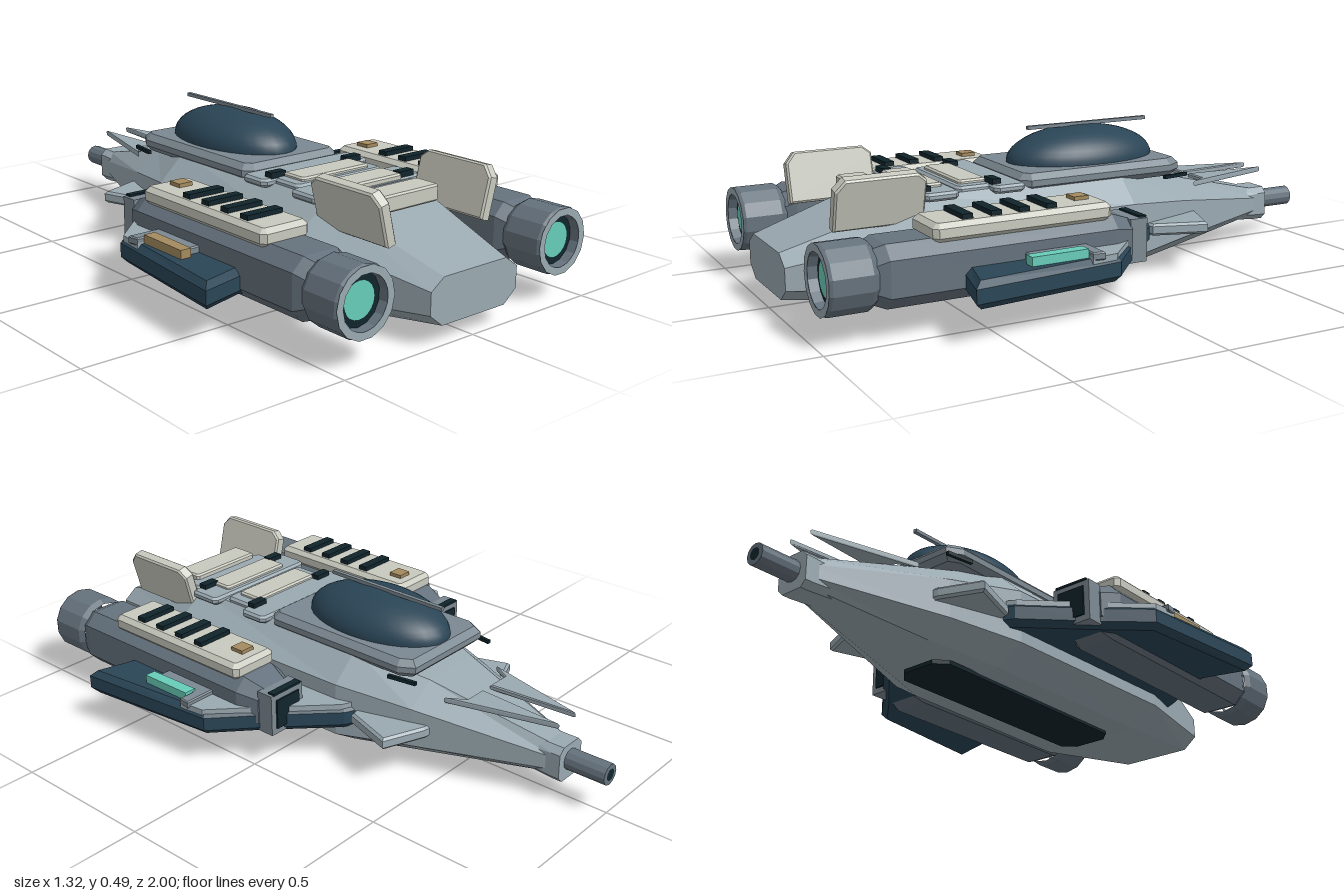
import * as THREE from 'three';

const paint = (name, color) => {
  const m = new THREE.MeshStandardMaterial({ color });
  m.name = name;
  return m;
};

export function createModel() {
  const ship = new THREE.Group();
  ship.name = 'spaceship';
  const hullGrey = paint('hullGrey', 0x9aa9b1);
  const frameGrey = paint('frameGrey', 0x7c8992);
  const engineGrey = paint('engineGrey', 0x65727d);
  const navy = paint('navy', 0x2a4556);
  const black = paint('nearBlack', 0x10242b);
  const cream = paint('cream', 0xc8c9be);
  const teal = paint('teal', 0x68cdb9);
  const ochre = paint('ochre', 0xa48b5f);

  const add = (name, geo, mat, x = 0, y = 0, z = 0) => {
    const mesh = new THREE.Mesh(geo, mat);
    mesh.name = name;
    mesh.position.set(x, y, z);
    ship.add(mesh);
    return mesh;
  };
  const flat = (geo) => {
    const g = geo.index ? geo.toNonIndexed() : geo;
    g.computeVertexNormals();
    return g;
  };
  const box = (name, mat, w, h, d, x, y, z) => add(name, new THREE.BoxGeometry(w, h, d), mat, x, y, z);

  // Skin over rings of [x, y], counterclockwise seen from +z, at rising z
  const loft = (sections) => {
    const n = sections[0].ring.length, pos = [], idx = [];
    sections.forEach(({ z, ring }) => ring.forEach(([x, y]) => pos.push(x, y, z)));
    for (let i = 0; i < sections.length - 1; i++) {
      for (let j = 0; j < n; j++) {
        const k = (j + 1) % n, a = i * n + j, b = i * n + k;
        idx.push(a, b, b + n, a, b + n, a + n);
      }
    }
    const e = (sections.length - 1) * n;
    for (let j = 1; j < n - 1; j++) idx.push(0, j + 1, j, e, e + j, e + j + 1);
    const g = new THREE.BufferGeometry();
    g.setAttribute('position', new THREE.Float32BufferAttribute(pos, 3));
    g.setIndex(idx);
    return flat(g);
  };

  // Horizontal plate from an outline of [x, z], with chamfered edges
  const slab = (name, mat, outline, y0, y1, bevel = 0) => {
    const shape = new THREE.Shape(outline.map(([x, z]) => new THREE.Vector2(x, -z)));
    const g = new THREE.ExtrudeGeometry(shape, {
      depth: y1 - y0 - 2 * bevel, bevelEnabled: bevel > 0, bevelSegments: 1,
      bevelSize: bevel, bevelThickness: bevel, bevelOffset: -bevel,
    });
    g.rotateX(-Math.PI / 2);
    return add(name, g, mat, 0, y0 + bevel, 0);
  };
  const rect = (x, hw, z0, z1, c) => [
    [x - hw + c, z0], [x + hw - c, z0], [x + hw, z0 + c], [x + hw, z1 - c],
    [x + hw - c, z1], [x - hw + c, z1], [x - hw, z1 - c], [x - hw, z0 + c]];
  const octagon = (wide, bottom, top, y0, yLow, yHigh, y1) => [
    [bottom, y0], [wide, yLow], [wide, yHigh], [top, y1],
    [-top, y1], [-wide, yHigh], [-wide, yLow], [-bottom, y0]];

  // Main hull
  add('hull', loft([
    { z: -0.84, ring: octagon(0.05, 0.03, 0.03, 0.09, 0.11, 0.15, 0.18) },
    { z: -0.4, ring: octagon(0.2, 0.12, 0.11, 0.035, 0.09, 0.22, 0.29) },
    { z: -0.15, ring: octagon(0.275, 0.18, 0.18, 0.01, 0.07, 0.25, 0.34) },
    { z: 0.57, ring: octagon(0.29, 0.19, 0.18, 0.01, 0.07, 0.25, 0.335) },
    { z: 1, ring: octagon(0.18, 0.13, 0.13, 0.06, 0.1, 0.17, 0.205) },
  ]), hullGrey);
  slab('bellyPanel', black, rect(0, 0.1, -0.33, 0.57, 0.04), 0, 0.014);

  // Nose collar and cannon
  add('noseCollar', loft([
    { z: -0.86, ring: octagon(0.06, 0.04, 0.04, 0.07, 0.09, 0.17, 0.19) },
    { z: -0.83, ring: octagon(0.06, 0.04, 0.04, 0.07, 0.09, 0.17, 0.19) },
    { z: -0.7, ring: octagon(0.06, 0.04, 0.04, 0.08, 0.1, 0.16, 0.19) },
  ]), hullGrey);
  const tube = (name, mat, r0, r1, len, sides, x, y, z) =>
    add(name, flat(new THREE.CylinderGeometry(r1, r0, len, sides).rotateX(Math.PI / 2)), mat, x, y, z);
  tube('cannonBarrel', engineGrey, 0.035, 0.035, 0.16, 12, 0, 0.135, -0.92);
  add('cannonBore', new THREE.CircleGeometry(0.02, 12).rotateY(Math.PI), black, 0, 0.135, -1.001);

  // Canopy, its frame and the spine rod
  const frame = [[-0.17, -0.39], [0.17, -0.39], [0.2, -0.34], [0.2, 0.19], [0.17, 0.22], [-0.17, 0.22], [-0.2, 0.19], [-0.2, -0.34]];
  slab('canopyFrame', frameGrey, frame, 0.31, 0.37, 0.02);
  const dome = new THREE.SphereGeometry(1, 32, 12, 0, Math.PI * 2, 0, Math.PI * 0.55);
  add('canopy', dome.scale(0.16, 0.11, 0.27), navy, 0, 0.37, -0.1);
  box('canopyRod', frameGrey, 0.014, 0.012, 0.46, 0, 0.483, -0.13);

  // Deck plates and pads
  slab('deckPlate', hullGrey, rect(0, 0.225, 0.22, 0.33, 0.015), 0.325, 0.352, 0.008);
  slab('deckPlate', hullGrey, rect(0, 0.18, 0.32, 0.44, 0.015), 0.325, 0.352, 0.008);
  slab('deckPlate', hullGrey, rect(0, 0.225, 0.45, 0.57, 0.015), 0.325, 0.352, 0.008);
  slab('deckPlate', hullGrey, rect(0, 0.18, 0.57, 0.65, 0.015), 0.31, 0.345, 0.008);
  for (const z of [0.37, 0.52, 0.675]) slab('deckPad', cream, rect(0, 0.14, z - 0.048, z + 0.048, 0.008), 0.31, 0.364, 0.006);

  for (const s of [1, -1]) {
    const mirror = (pts) => pts.map(([x, z]) => [s * x, z]);
    const ex = s * 0.41, ey = 0.19;

    // Small deck vents and canopy side slots
    for (const z of [0.31, 0.55]) box('deckVent', black, 0.06, 0.02, 0.03, s * 0.16, 0.358, z);
    const slot = box('canopySlot', black, 0.012, 0.012, 0.1, s * 0.2, 0.312, -0.36);
    slot.rotation.y = s * 0.15;

    // Nose spikes and canards
    slab('noseSpike', hullGrey, mirror([[0.02, -0.54], [0.045, -0.84], [0.14, -0.48], [0.1, -0.54]]), 0.25, 0.268, 0.004);
    slab('canard', hullGrey, mirror([[0.16, -0.46], [0.2, -0.455], [0.34, -0.4], [0.28, -0.22], [0.2, -0.2]]), 0.135, 0.175, 0.008);

    // Wing with its forward armour and light rail
    slab('wing', navy, mirror([[0.18, -0.25], [0.29, -0.2], [0.49, 0], [0.61, 0.11], [0.66, 0.61], [0.5, 0.57], [0.3, 0.7], [0.18, 0.75]]), 0.11, 0.194, 0.02);
    slab('wingArmour', hullGrey, mirror([[0.18, -0.24], [0.29, -0.19], [0.49, 0.01], [0.605, 0.12], [0.615, 0.21], [0.54, 0.21], [0.51, 0.3], [0.18, 0.3]]), 0.18, 0.2);
    slab('lightRail', frameGrey, mirror([[0.5, 0.17], [0.62, 0.17], [0.615, 0.21], [0.565, 0.21], [0.55, 0.38], [0.5, 0.38]]), 0.19, 0.215, 0.004);
    slab('wingLight', s > 0 ? teal : ochre, mirror([[0.55, 0.21], [0.59, 0.21], [0.592, 0.4], [0.555, 0.4]]), 0.19, 0.222);

    // Engine pod
    const ring = (hw, y0, y1, c) => octagon(hw, hw - c, hw - c, y0, y0 + c, y1 - c, y1).map(([x, y]) => [x + ex, y]);
    add('enginePod', loft([
      { z: -0.01, ring: ring(0.075, 0.12, 0.26, 0.03) },
      { z: 0.06, ring: ring(0.102, 0.095, 0.285, 0.04) },
      { z: 0.8, ring: ring(0.102, 0.095, 0.285, 0.04) },
      { z: 0.84, ring: ring(0.085, 0.11, 0.27, 0.04) },
    ]), engineGrey);

    // Intake frame and opening
    box('intakeFrame', frameGrey, 0.14, 0.14, 0.06, ex, ey, -0.035);
    box('intakeOpening', black, 0.1, 0.1, 0.008, ex, ey, -0.067);
    box('intakeTop', black, 0.12, 0.008, 0.025, ex, 0.262, -0.055);

    // Nozzle ring, dark throat and glow
    const profile = [[0.095, 0], [0.108, 0.02], [0.108, 0.14], [0.102, 0.15], [0.084, 0.15], [0.08, 0.11]]
      .map(([r, y]) => new THREE.Vector2(r, y));
    add('nozzle', flat(new THREE.LatheGeometry(profile, 14).rotateX(Math.PI / 2)), engineGrey, ex, ey, 0.83);
    add('nozzleRim', new THREE.RingGeometry(0.083, 0.107, 14), hullGrey, ex, ey, 0.982);
    add('nozzleThroat', new THREE.CircleGeometry(0.085, 20), black, ex, ey, 0.95);
    add('nozzleGlow', new THREE.CircleGeometry(0.057, 20), teal, ex, ey, 0.956);

    // Engine top cover with hatch and vents
    slab('engineCover', cream, rect(ex, 0.088, 0.07, 0.66, 0.015), 0.27, 0.328, 0.015);
    box('coverHatch', ochre, 0.05, 0.016, 0.05, s * 0.4, 0.332, 0.14);
    for (let i = 0; i < 4; i++) box('coverVent', black, 0.13, 0.02, 0.034, ex, 0.333, 0.27 + i * 0.092);

    // Tail fin, outline in [z, y], leaning outward
    const finShape = new THREE.Shape([[0, 0], [0.29, 0], [0.29, 0.13], [0.26, 0.165], [0.03, 0.165], [0, 0.14]]
      .map(([z, y]) => new THREE.Vector2(-z, y)));
    const finGeo = new THREE.ExtrudeGeometry(finShape, {
      depth: 0.028, bevelEnabled: true, bevelSegments: 1, bevelSize: 0.006, bevelThickness: 0.006, bevelOffset: -0.006,
    }).translate(0, 0, -0.014).rotateY(Math.PI / 2);
    const fin = add('tailFin', finGeo, cream, s * 0.195, 0.27, 0.57);
    fin.rotation.z = -s * 0.25;
  }
  return ship;
}
